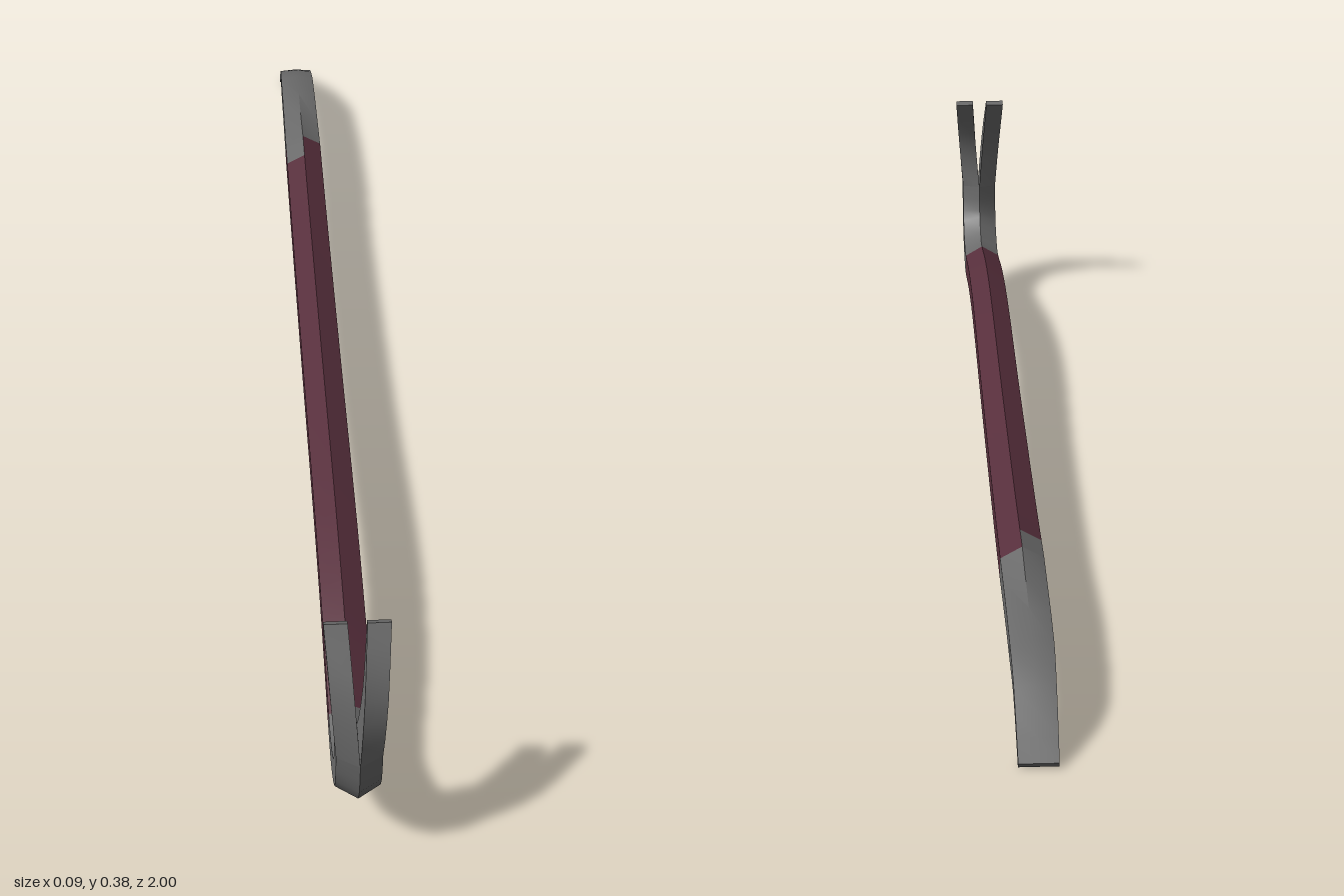
import * as THREE from 'three';
import { toCreasedNormals } from 'three/addons/utils/BufferGeometryUtils.js';

// Centre line of the bar as [z, y], from the claw tips to the prying tip
const path = [
  [0.912, 0.376], [0.957, 0.285], [0.964, 0.197], [0.941, 0.121], [0.865, 0.08],
  [0.81, 0.08], [0.65, 0.105], [0.45, 0.116], [0.05, 0.101], [-0.4, 0.093],
  [-0.54, 0.095], [-0.6, 0.096], [-0.84, 0.088], [-0.91, 0.067], [-0.996, 0.004],
];
const curve = new THREE.CatmullRomCurve3(path.map(([z, y]) => new THREE.Vector3(0, y, z)));

// Path points where one part ends and the next begins
const SPLIT = 2;
const PAINT_START = 5;
const BARE_FACE = 10;
const PAINT_END = 11;
const TIP = path.length - 1;
const STEPS = 3; // rings per path point

// Half width, ridge height, side height and claw gap at path point k
function sizeAt(k) {
  const hook = Math.max(0, 1 - k / SPLIT);
  const chisel = Math.max(0, (k - PAINT_END) / (TIP - PAINT_END));
  return {
    w: 0.0315 + 0.0135 * hook - 0.0045 * chisel,
    r: 0.036 - 0.03 * hook - 0.031 * chisel ** 0.6,
    s: 0.018 - 0.012 * hook ** 2 - 0.013 * chisel,
    gap: 0.013 * hook,
  };
}

// Cross-sections, counter-clockwise, in (x, local up)
const hexagon = ({ w, r, s }) => [[w, -s], [w, s], [0, r], [-w, s], [-w, -s], [0, -r]];
const leftHalf = ({ w, r, s, gap }) => [[w, -s], [w, s], [gap, r], [gap, -r]];
const rightHalf = (size) => leftHalf(size).map(([x, n]) => [-x, n]).reverse();

// The cross-section placed upright to the path at point k
function ringAt(k, section) {
  const p = curve.getPoint(k / TIP);
  const t = curve.getTangent(k / TIP);
  return section(sizeAt(k)).map(([x, n]) => [x, p.y - t.z * n, p.z + t.y * n]);
}

// Skins the bar between two path points; bareFace gets the second material
function sweep(name, from, to, section, materials, bareFace = -1) {
  const rings = [];
  for (let i = from * STEPS; i <= to * STEPS; i++) rings.push(ringAt(i / STEPS, section));
  const buckets = materials.map(() => []);
  const count = rings[0].length;
  for (let i = 0; i < rings.length - 1; i++) {
    for (let j = 0; j < count; j++) {
      const k = (j + 1) % count;
      const [a, b, c, d] = [rings[i][j], rings[i][k], rings[i + 1][k], rings[i + 1][j]];
      buckets[j === bareFace ? 1 : 0].push(...a, ...d, ...c, ...a, ...c, ...b);
    }
  }

  // Close the free ends of the bar
  const cap = (ring) => {
    for (let j = 1; j < count - 1; j++) buckets[0].push(...ring[0], ...ring[j], ...ring[j + 1]);
  };
  if (from === 0) cap(rings[0]);
  if (to === TIP) cap(rings[rings.length - 1].reverse());

  const geometry = new THREE.BufferGeometry();
  geometry.setAttribute('position', new THREE.Float32BufferAttribute(buckets.flat(), 3));
  let start = 0;
  buckets.forEach((bucket, m) => {
    geometry.addGroup(start, bucket.length / 3, m);
    start += bucket.length / 3;
  });
  const mesh = new THREE.Mesh(toCreasedNormals(geometry, 0.6), materials);
  mesh.name = name;
  return mesh;
}

export function createModel() {
  const steel = new THREE.MeshStandardMaterial({ color: 0x6a6a6a });
  steel.name = 'bare steel';
  const paint = new THREE.MeshStandardMaterial({ color: 0x572f3c });
  paint.name = 'dark red paint';

  const crowbar = new THREE.Group();
  crowbar.name = 'crowbar';
  crowbar.add(
    // Hooked end with its split claw
    sweep('leftProng', 0, SPLIT, leftHalf, [steel]),
    sweep('rightProng', 0, SPLIT, rightHalf, [steel]),
    sweep('hookBend', SPLIT, PAINT_START, hexagon, [steel]),
    // Painted shaft; one upper face of its end is left bare
    sweep('shaft', PAINT_START, BARE_FACE, hexagon, [paint]),
    sweep('shaftEnd', BARE_FACE, PAINT_END, hexagon, [paint, steel], 2),
    // Flattened prying tip
    sweep('chiselEnd', PAINT_END, TIP, hexagon, [steel]),
  );
  return crowbar;
}
